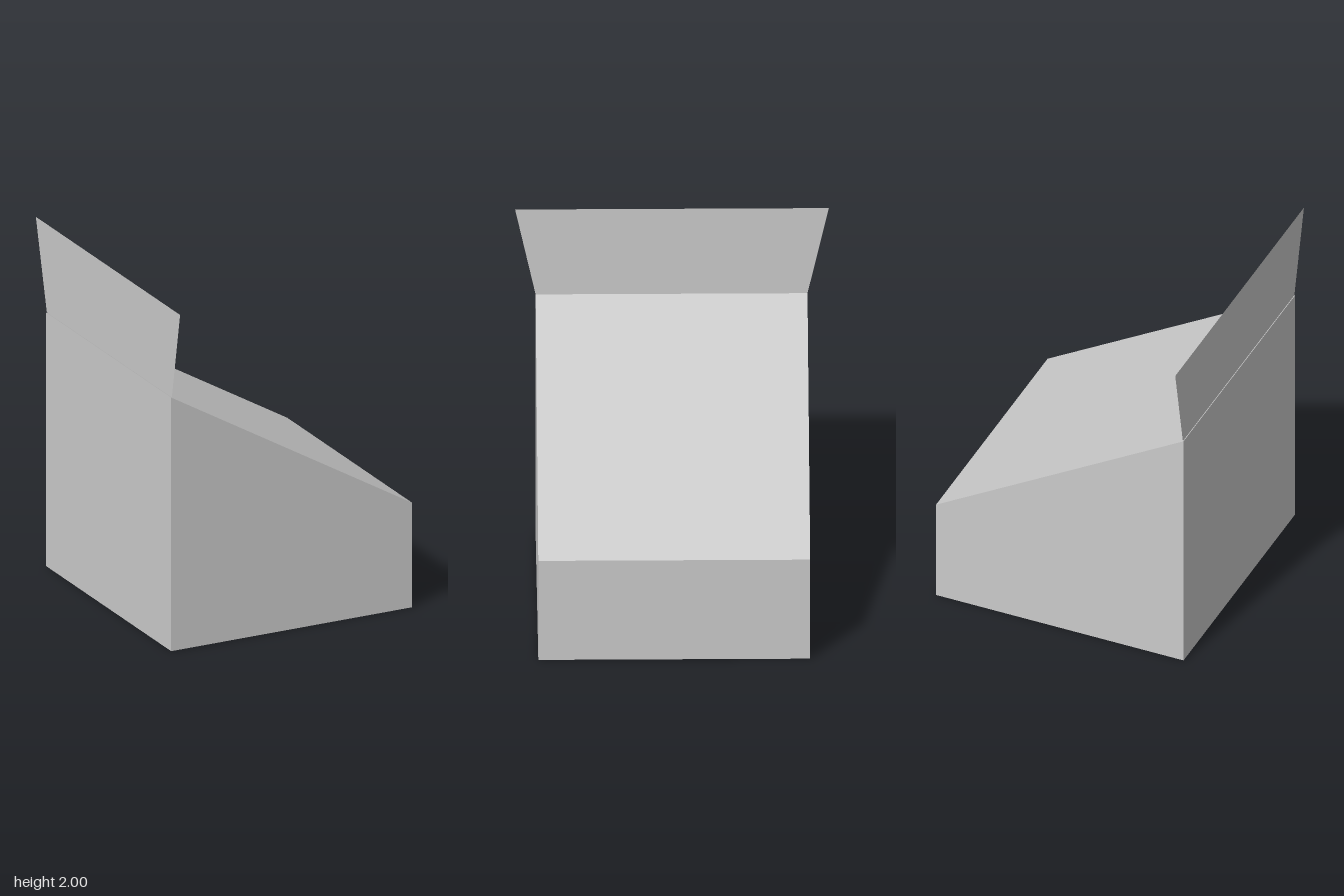
import * as THREE from 'three';

export function createModel() {
  const group = new THREE.Group();
  const material = new THREE.MeshStandardMaterial({ color: 0xcccccc, flatShading: true });

  // Wedge body: sloped profile extruded front to back
  const profile = new THREE.Shape([
    new THREE.Vector2(-0.742, 0),
    new THREE.Vector2(0.74, 0),
    new THREE.Vector2(0.74, 0.61),
    new THREE.Vector2(-0.742, 1.48),
  ]);
  const bodyGeometry = new THREE.ExtrudeGeometry(profile, { depth: 1.485, bevelEnabled: false });
  bodyGeometry.translate(0, 0, -0.74);
  const body = new THREE.Mesh(bodyGeometry, material);
  body.name = 'slopedBody';
  group.add(body);

  // Thin upright flap on the tall edge, flaring towards its top and leaning slightly out
  const flapGeometry = new THREE.PlaneGeometry(1, 1);
  const p = flapGeometry.attributes.position;
  for (let i = 0; i < p.count; i++) {
    const top = p.getY(i) > 0;
    const side = Math.sign(p.getX(i));
    const z = top ? side * 0.857 : 0.0025 + side * 0.7425;
    p.setXYZ(i, top ? -0.745 : -0.738, top ? 2 : 1.48, z);
  }
  flapGeometry.computeVertexNormals();
  const flapMaterial = material.clone();
  flapMaterial.side = THREE.DoubleSide;
  const flap = new THREE.Mesh(flapGeometry, flapMaterial);
  flap.name = 'flap';
  group.add(flap);

  return group;
}
